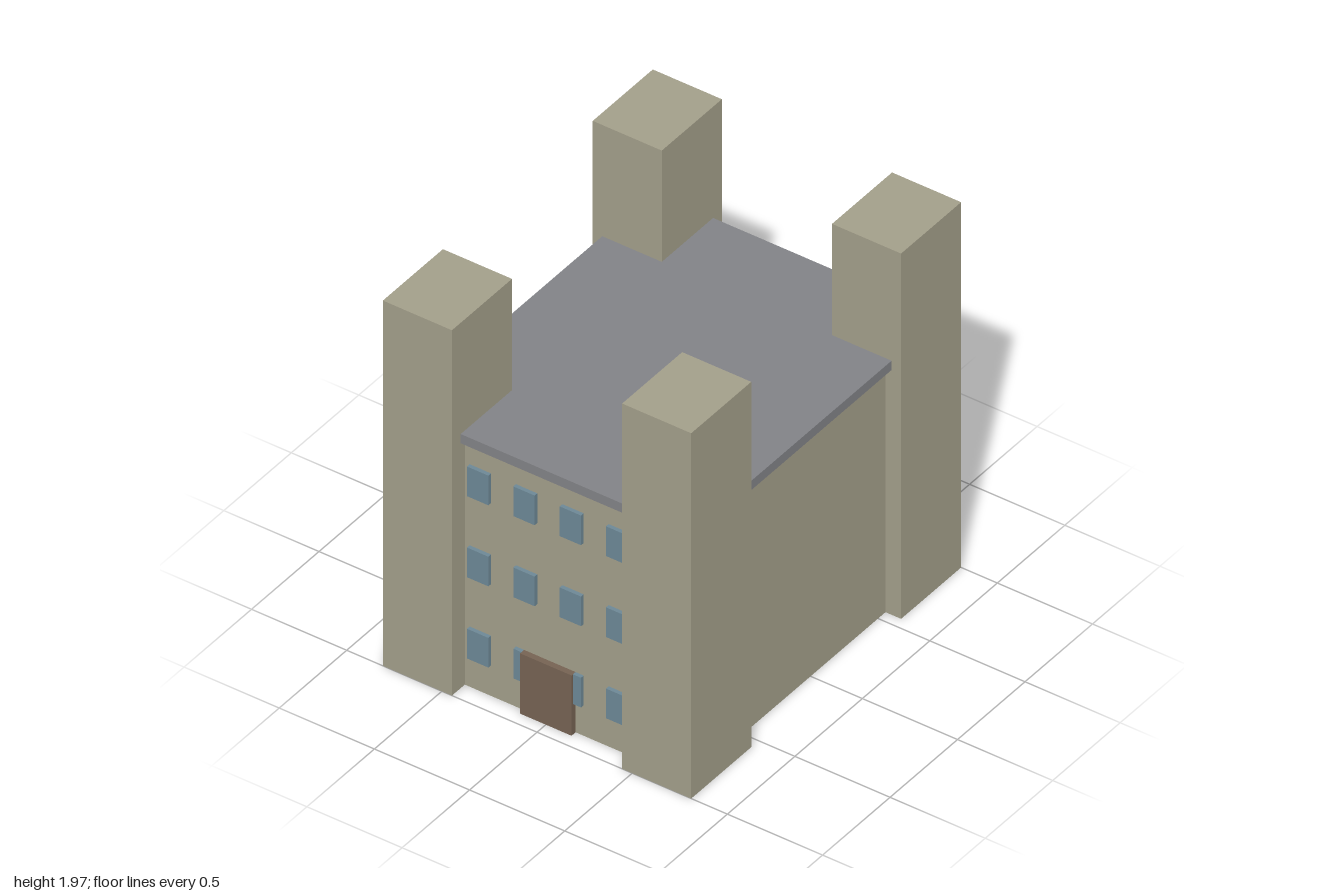
import * as THREE from 'three';

const material = (name, color) => {
  const m = new THREE.MeshStandardMaterial({ color });
  m.name = name;
  return m;
};

export function createModel() {
  const stone = material('stone', 0xa39f8a);
  const slate = material('slate', 0x828387);
  const glass = material('glass', 0x6d8896);
  const wood = material('wood', 0x766353);

  const model = new THREE.Group();
  model.name = 'castle';

  // Adds a box given its size, centre in x and z, and bottom height
  const box = (name, mat, w, h, d, x, y, z, parent = model) => {
    const mesh = new THREE.Mesh(new THREE.BoxGeometry(w, h, d), mat);
    mesh.name = name;
    mesh.position.set(x, y + h / 2, z);
    parent.add(mesh);
  };

  // Main block and its overhanging flat roof
  const wallZ = 0.905;
  box('keepWalls', stone, 1.456, 1.32, wallZ * 2, 0, 0, 0);
  box('roof', slate, 1.52, 0.05, 1.87, 0, 1.32, 0);

  // Corner towers
  for (const sx of [-1, 1]) {
    for (const sz of [-1, 1]) {
      box('tower', stone, 0.363, 1.97, 0.445, sx * 0.6285, 0, sz * 0.7775);
    }
  }

  // Three rows of four windows on the front and back walls
  for (const [name, side] of [['frontWindows', 1], ['backWindows', -1]]) {
    const windows = new THREE.Group();
    windows.name = name;
    for (const y of [0.165, 0.603, 1.04]) {
      for (const x of [-0.365, -0.122, 0.122, 0.365]) {
        box('window', glass, 0.112, 0.16, 0.04, x, y, side * wallZ, windows);
      }
    }
    model.add(windows);
  }

  // Door standing proud of the front windows
  box('door', wood, 0.27, 0.325, 0.06, 0, 0, wallZ);

  return model;
}
